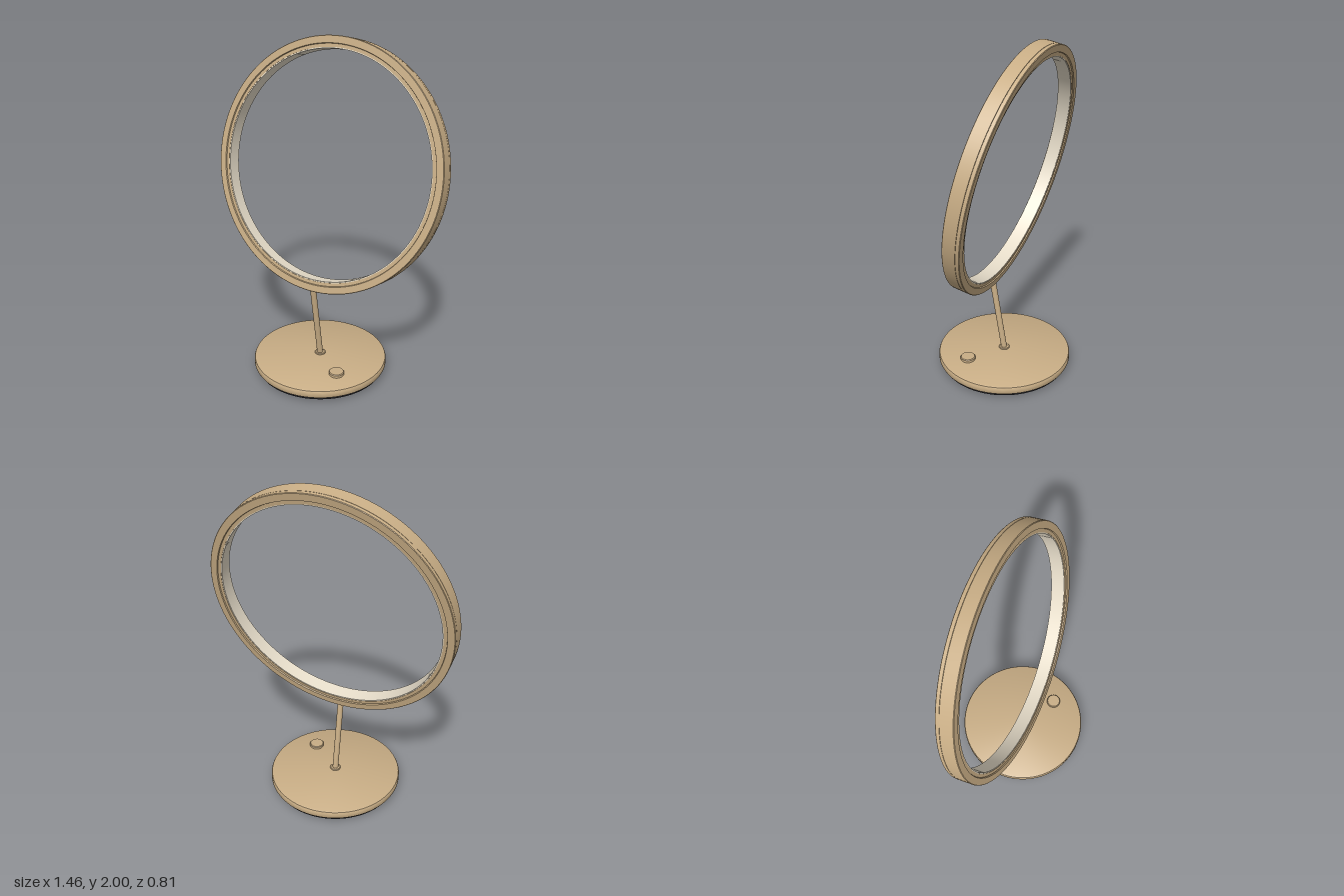
import * as THREE from 'three';
import { toCreasedNormals } from 'three/addons/utils/BufferGeometryUtils.js';

const material = (name, color) => {
  const m = new THREE.MeshStandardMaterial({ color });
  m.name = name;
  return m;
};

// Revolved solid from [radius, height] pairs, running up the outside
function turned(name, profile, mat, segments = 96) {
  const points = profile.map(([r, y]) => new THREE.Vector2(r, y));
  const geometry = toCreasedNormals(new THREE.LatheGeometry(points, segments), 0.6);
  const mesh = new THREE.Mesh(geometry, mat);
  mesh.name = name;
  return mesh;
}

export function createModel() {
  const tan = material('tan metal', 0xc8ad85);
  const cream = material('cream diffuser', 0xeee4d0);
  const black = material('black rubber', 0x1c1c20);
  const model = new THREE.Group();
  model.name = 'ringLamp';

  // Round base with softened edges
  model.add(turned('base', [
    [0, 0.033], [0.395, 0.033], [0.403, 0.037], [0.407, 0.045], [0.407, 0.071],
    [0.403, 0.08], [0.395, 0.084], [0, 0.086],
  ], tan));

  // Underside pad and three feet
  model.add(turned('basePad', [[0, 0.018], [0.39, 0.018], [0.39, 0.034], [0, 0.034]], black));
  for (let i = 0; i < 3; i++) {
    const a = (i * Math.PI * 2) / 3;
    const foot = turned('foot', [[0, 0], [0.036, 0], [0.036, 0.02], [0, 0.02]], black, 32);
    foot.position.set(Math.sin(a) * 0.29, 0, Math.cos(a) * 0.29);
    model.add(foot);
  }

  // Control knob
  const knob = turned('knob', [
    [0, 0.08], [0.042, 0.08], [0.042, 0.088], [0.045, 0.089], [0.045, 0.102],
    [0.041, 0.107], [0, 0.108],
  ], tan, 40);
  knob.position.set(0.207, 0, 0.15);
  model.add(knob);

  // Leaning stem and its collar
  model.add(turned('stemCollar', [
    [0, 0.08], [0.033, 0.08], [0.033, 0.09], [0.029, 0.093], [0, 0.093],
  ], tan, 32));
  const foot = new THREE.Vector3(0, 0.08, 0);
  const tip = new THREE.Vector3(0, 0.59, 0.084);
  const along = tip.clone().sub(foot);
  const stem = new THREE.Mesh(new THREE.CylinderGeometry(0.018, 0.018, along.length(), 32), tan);
  stem.name = 'stem';
  stem.position.copy(foot).add(tip).multiplyScalar(0.5);
  stem.quaternion.setFromUnitVectors(new THREE.Vector3(0, 1, 0), along.normalize());
  model.add(stem);

  // Tilted ring head: front shell, back shell and inner diffuser
  const head = new THREE.Group();
  head.name = 'ringHead';
  head.add(turned('frontShell', [
    [0.664, -0.026], [0.728, -0.026], [0.728, 0.047], [0.725, 0.05], [0.686, 0.05],
    [0.683, 0.043], [0.664, 0.043], [0.664, -0.026],
  ], tan, 128));
  head.add(turned('backShell', [
    [0.664, -0.043], [0.683, -0.043], [0.686, -0.05], [0.725, -0.05], [0.728, -0.047],
    [0.728, -0.028], [0.664, -0.028], [0.664, -0.043],
  ], tan, 128));
  head.add(turned('diffuser', [
    [0.658, -0.041], [0.672, -0.041], [0.672, 0.041], [0.658, 0.041], [0.658, -0.041],
  ], cream, 128));
  head.children.forEach((part) => { part.rotation.x = Math.PI / 2; });
  head.rotation.x = -THREE.MathUtils.degToRad(12);
  head.position.set(0, 1.278, -0.068);
  model.add(head);

  return model;
}
